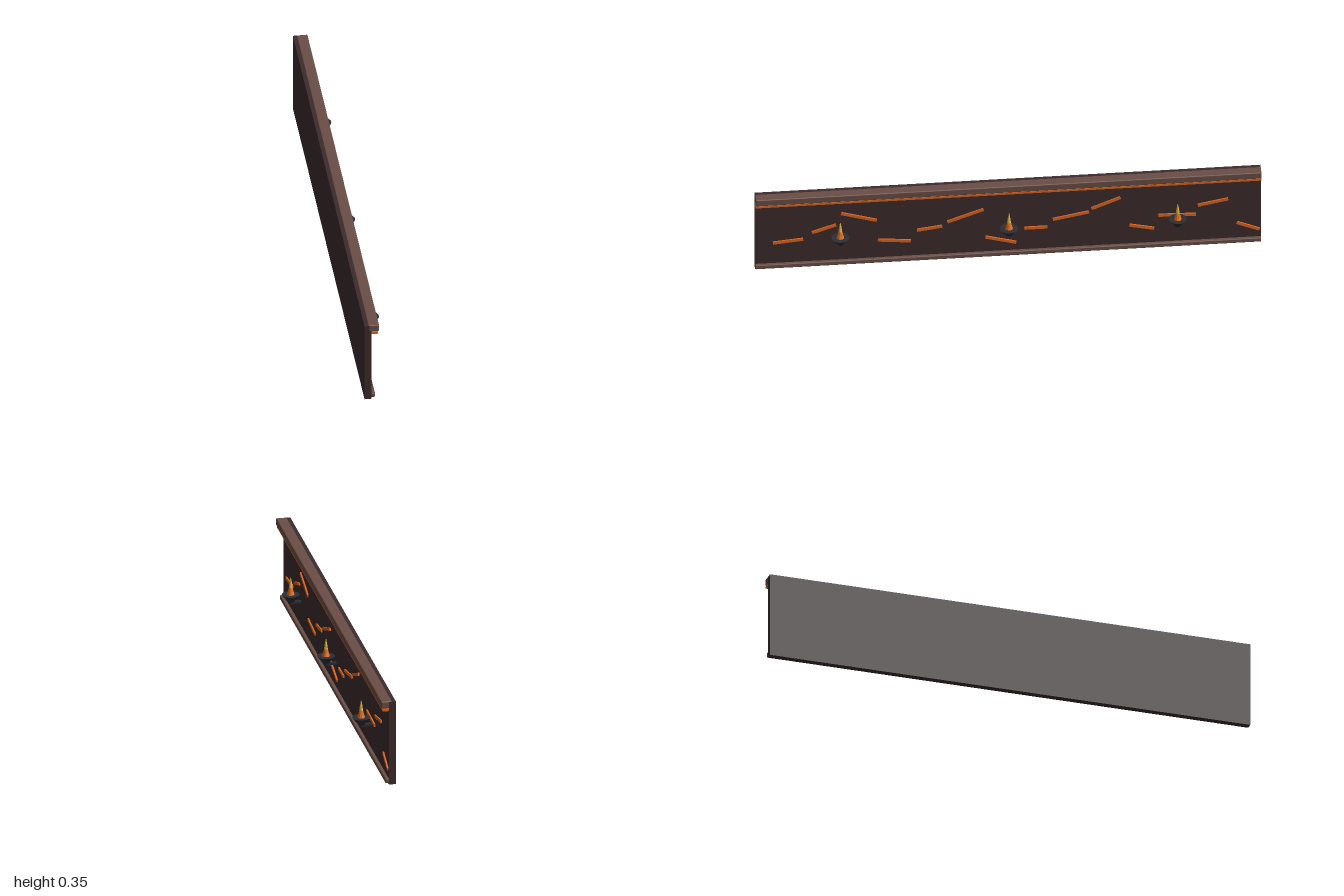
import * as THREE from 'three';
import { RoundedBoxGeometry } from 'three/addons/geometries/RoundedBoxGeometry.js';

const mat = (name, color, flatShading = false) => {
  const m = new THREE.MeshStandardMaterial({ color, flatShading });
  m.name = name;
  return m;
};

export function createModel() {
  const group = new THREE.Group();
  const stone = mat('dark stone', 0x3b2b2c);
  const trim = mat('brown trim', 0x6a4e45);
  const ember = mat('ember orange', 0xdc6420);
  const iron = mat('dark iron', 0x2c2e37, true);
  const flameOrange = mat('flame orange', 0xe6701c, true);
  const flameYellow = mat('flame yellow', 0xe0b848, true);

  const add = (parent, name, geometry, material, x, y, z) => {
    const mesh = new THREE.Mesh(geometry, material);
    mesh.name = name;
    mesh.position.set(x, y, z);
    parent.add(mesh);
    return mesh;
  };
  const box = (w, h, d) => new THREE.BoxGeometry(w, h, d);

  // Wall slab, rounded rails and the glowing strip under the top rail
  add(group, 'wallPanel', box(0.028, 0.35, 2), stone, -0.039, 0.175, 0);
  add(group, 'topRail', new RoundedBoxGeometry(0.043, 0.029, 2, 2, 0.004), trim, -0.0165, 0.3375, 0);
  add(group, 'bottomRail', new RoundedBoxGeometry(0.016, 0.018, 2, 2, 0.003), trim, -0.019, 0.016, 0);
  add(group, 'glowStrip', box(0.025, 0.009, 2), ember, -0.0125, 0.3155, 0);

  // Glowing cracks: start z, start y, end z, end y
  const cracks = [
    [0.93, 0.123, 0.81, 0.134], [0.775, 0.163, 0.68, 0.195],
    [0.66, 0.248, 0.52, 0.206], [0.515, 0.11, 0.385, 0.097],
    [0.36, 0.147, 0.26, 0.16], [0.24, 0.179, 0.097, 0.23],
    [0.09, 0.096, -0.032, 0.062], [-0.064, 0.128, -0.155, 0.128],
    [-0.177, 0.163, -0.32, 0.19], [-0.33, 0.205, -0.444, 0.251],
    [-0.48, 0.115, -0.577, 0.093], [-0.594, 0.155, -0.743, 0.15],
    [-0.75, 0.193, -0.87, 0.216], [-0.904, 0.099, -0.994, 0.061],
  ];
  for (const [z0, y0, z1, y1] of cracks) {
    const length = Math.hypot(z1 - z0, y1 - y0);
    const crack = add(group, 'crack', box(0.007, 0.012, length), ember,
      -0.0225, (y0 + y1) / 2, (z0 + z1) / 2);
    crack.rotation.x = -Math.atan2(y1 - y0, z1 - z0);
  }

  // Wall lamps: bracket, bowl and two-tone flame
  const flame = (...points) => new THREE.LatheGeometry(
    points.map(([r, y]) => new THREE.Vector2(r, y)), 10);
  for (const z of [-0.667, 0, 0.667]) {
    const lamp = new THREE.Group();
    lamp.name = 'wallLamp';
    lamp.position.set(0.016, 0, z);
    add(lamp, 'bracket', box(0.042, 0.009, 0.016), iron, -0.021, 0.1255, 0);
    add(lamp, 'bowl', new THREE.CylinderGeometry(0.036, 0.011, 0.032, 14), iron, 0, 0.143, 0);
    add(lamp, 'flameBase', flame([0.016, 0.157], [0.0115, 0.172], [0.0078, 0.188]), flameOrange, 0, 0, 0);
    add(lamp, 'flameTip', flame([0.0078, 0.188], [0.005, 0.208], [0.0012, 0.23], [0, 0.23]), flameYellow, 0, 0, 0);
    group.add(lamp);
  }
  return group;
}
